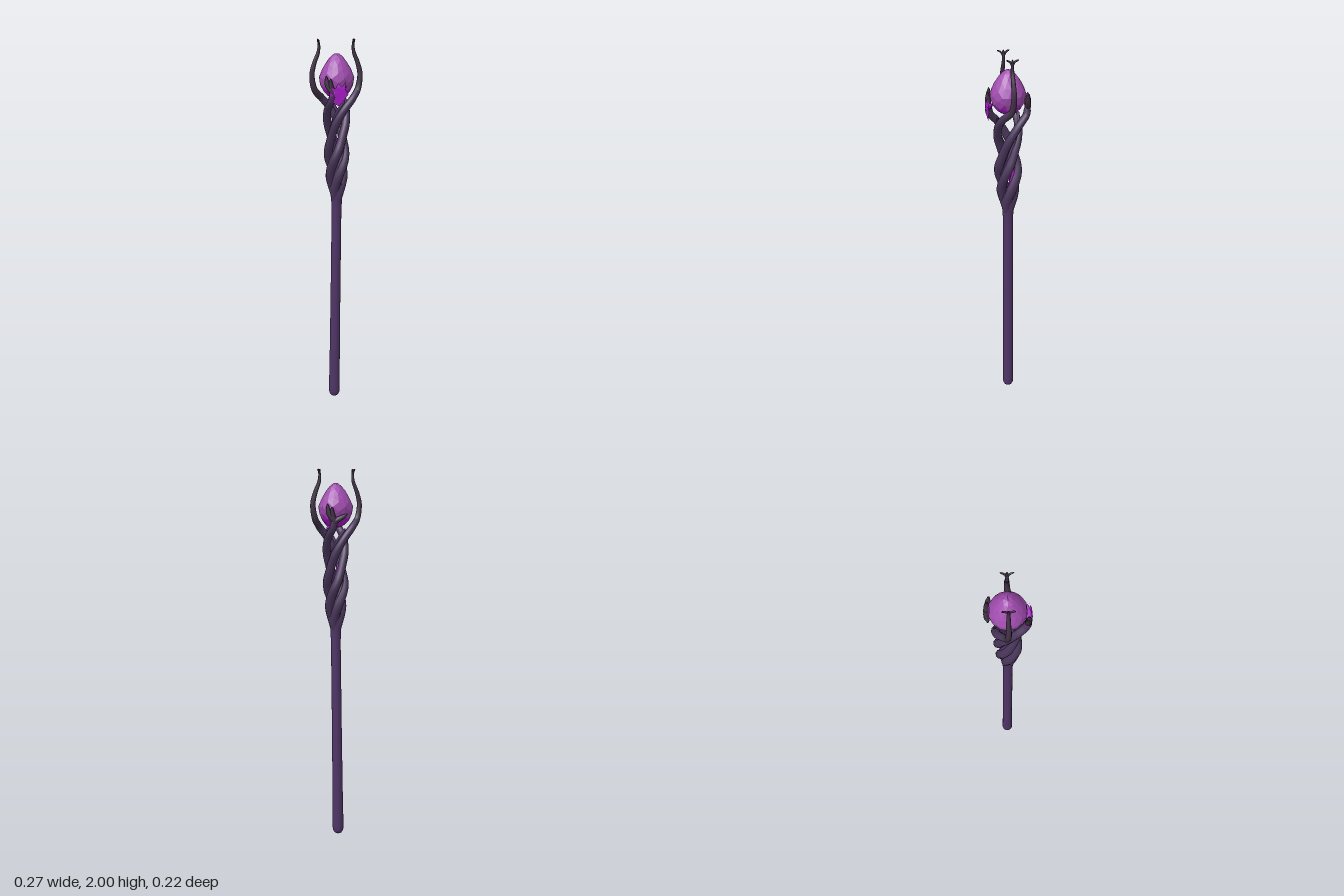
import * as THREE from 'three';

const mat = (name, color, extra = {}) => {
  const m = new THREE.MeshStandardMaterial({ color, ...extra });
  m.name = name;
  return m;
};
const V = (x, y, z) => new THREE.Vector3(x, y, z);

// linear lookup in [[x, value], ...]
function lookup(table, x) {
  for (let i = 1; i < table.length; i++) {
    const [x0, v0] = table[i - 1], [x1, v1] = table[i];
    if (x <= x1) return v0 + (v1 - v0) * Math.max(0, (x - x0) / (x1 - x0));
  }
  return table[table.length - 1][1];
}

// tube whose radius follows a table over its length; closed by tapering to zero at both ends
function taperedTube(points, radii, segments = 60, sides = 10) {
  const path = new THREE.CatmullRomCurve3(points, false, 'centripetal');
  const geo = new THREE.TubeGeometry(path, segments, 1, sides);
  const pos = geo.attributes.position, v = V(0, 0, 0);
  for (let i = 0; i <= segments; i++) {
    const u = i / segments, c = path.getPointAt(u);
    const r = i === 0 || i === segments ? 0.0005 : lookup(radii, u);
    for (let j = 0; j <= sides; j++) {
      const k = i * (sides + 1) + j;
      v.fromBufferAttribute(pos, k).sub(c).multiplyScalar(r).add(c);
      pos.setXYZ(k, v.x, v.y, v.z);
    }
  }
  return geo;
}

// distance of the braided strands from the axis, by height
const BRAID = [[1.15, 0.006], [1.22, 0.02], [1.3, 0.035], [1.4, 0.046],
  [1.5, 0.036], [1.6, 0.05], [1.66, 0.066], [1.7, 0.085]];

// braid points winding up to endAngle (0 = left side, PI/2 = front) at y = 1.72
function braid(endAngle, scale = 1) {
  const pts = [];
  for (let y = 1.16; y < 1.701; y += 0.045) {
    const a = endAngle + 5 * (1.72 - y) / 0.5, r = lookup(BRAID, y) * scale;
    pts.push(V(Math.cos(a) * r, y, Math.sin(a) * r * 1.08));
  }
  return pts;
}

export function createModel() {
  const group = new THREE.Group();
  const shaftMat = mat('dark purple wood', 0x4f3566);
  const strandMat = mat('braided wood', 0x49365a);
  const prongMat = mat('charred wood', 0x423347);
  const orbMat = mat('violet crystal', 0xa04cae, { flatShading: true });
  const glowMat = mat('bright magenta', 0xa91cc8, { side: THREE.DoubleSide });
  const add = (name, geo, material, parent = group) => {
    const m = new THREE.Mesh(geo, material);
    m.name = name;
    parent.add(m);
    return m;
  };

  // slightly leaning shaft with a rounded foot and a flared neck
  const profile = [[0, 0], [0.011, 0.002], [0.021, 0.008], [0.028, 0.02], [0.031, 0.036], [0.031, 0.06],
    [0.029, 0.2], [0.027, 0.6], [0.026, 1.1], [0.029, 1.17], [0.038, 1.23], [0.034, 1.28], [0, 1.31]];
  const shaft = new THREE.LatheGeometry(profile.map(p => new THREE.Vector2(...p)), 20);
  const sp = shaft.attributes.position;
  for (let i = 0; i < sp.count; i++) {
    const lean = Math.max(0, 1 - sp.getY(i) / 1.15);
    sp.setX(i, sp.getX(i) - 0.013 * lean);
    sp.setZ(i, sp.getZ(i) - 0.004 * lean);
  }
  add('shaft', shaft, shaftMat);

  // two long prongs, each a braided strand that curls past the crystal
  for (const s of [1, -1]) {
    const side = s > 0 ? 'left' : 'right';
    const x = d => s * (s > 0 ? d : d + 0.006);
    const strand = braid(s > 0 ? 0.3 : Math.PI + 0.3);
    add(side + 'ProngStrand', taperedTube([...strand, V(x(0.106), 1.745, s * 0.008)],
      [[0, 0.02], [0.2, 0.025], [0.65, 0.022], [0.9, 0.019], [1, 0.014]]), strandMat);
    add(side + 'Prong', taperedTube([strand.at(-1), V(x(0.106), 1.745, s * 0.008), V(x(0.119), 1.82, 0),
      V(x(0.106), 1.88, 0), V(x(0.087), 1.93, 0), V(x(0.083), 1.965, 0), V(x(0.088), 1.997, 0)],
    [[0, 0.019], [0.3, 0.015], [0.5, 0.013], [0.75, 0.01], [1, 0.005]], 40, 8), prongMat);
    // forked tip
    for (const z of [1, -1]) {
      add(side + 'ProngFork', taperedTube([V(x(0.083), 1.965, 0), V(x(0.085), 1.985, z * 0.012),
        V(x(0.088), 1.995, z * 0.031)], [[0, 0.006], [1, 0.004]], 8, 6), prongMat);
    }
  }

  // front and back claws: braided strands that end in short spread fingers
  for (const s of [1, -1]) {
    const side = s > 0 ? 'front' : 'back';
    const claw = new THREE.Group();
    claw.name = side + 'Claw';
    if (s < 0) claw.rotation.y = Math.PI;
    group.add(claw);
    const strand = braid(Math.PI / 2 + 0.2);
    const palm = V(-0.025, 1.735, 0.093);
    add(side + 'ClawStrand', taperedTube([...strand, palm],
      [[0, 0.02], [0.2, 0.026], [0.65, 0.022], [1, 0.018]]), strandMat, claw);
    const fingers = [
      [prongMat, V(-0.052, 1.775, 0.088), V(-0.06, 1.825, 0.082)],
      [prongMat, V(-0.036, 1.77, 0.094), V(-0.038, 1.81, 0.094)],
      [s > 0 ? glowMat : prongMat, V(0.005, 1.752, 0.095), V(0.042, 1.772, 0.088)]];
    for (const [material, ...f] of fingers) {
      add(side + 'ClawFinger', taperedTube([strand.at(-1), palm, ...f],
        [[0, 0.017], [0.4, 0.016], [0.75, 0.012], [1, 0.004]], 18, 8), material, claw);
    }
  }

  // thin secondary vines between the main strands
  for (const a of [Math.PI / 4, -Math.PI * 3 / 4]) {
    add('thinVine', taperedTube(braid(a, 0.8), [[0, 0.014], [0.5, 0.01], [1, 0.007]]), shaftMat);
  }
  // glowing vein inside the braid
  add('glowingVein', taperedTube(braid(Math.PI * 0.75, 0.7).slice(3, 9), [[0, 0.007], [1, 0.007]], 40, 6), glowMat);

  // faceted pointed crystal, with a bright underside
  const orb = new THREE.IcosahedronGeometry(1, 2);
  const op = orb.attributes.position;
  for (let i = 0; i < op.count; i++) {
    const t = op.getY(i);
    const r = 0.09 * (t > 0 ? 1 - 0.4 * t : 1);
    op.setXYZ(i, op.getX(i) * r, 1.808 + t * (t > 0 ? 0.12 : 0.108), op.getZ(i) * r);
  }
  orb.computeVertexNormals();
  for (let i = 0; i < op.count; i += 3) {
    const y = (op.getY(i) + op.getY(i + 1) + op.getY(i + 2)) / 3;
    orb.addGroup(i, 3, y < 1.752 ? 1 : 0);
  }
  add('crystal', orb, [orbMat, glowMat]);

  // jagged glowing splash over the front claw, wrapped around the crystal
  const splash = new THREE.ShapeGeometry(new THREE.Shape([
    [-0.42, 1.715], [-0.15, 1.685], [0.05, 1.675], [0.22, 1.7], [0.46, 1.735], [0.32, 1.755], [0.36, 1.795],
    [0.15, 1.77], [0, 1.79], [-0.14, 1.765], [-0.35, 1.768]].map(p => new THREE.Vector2(...p))));
  const gp = splash.attributes.position;
  for (let i = 0; i < gp.count; i++) {
    const a = gp.getX(i), y = gp.getY(i);
    const r = lookup([[1.675, 0.1], [1.72, 0.115], [1.76, 0.114], [1.8, 0.1]], y);
    gp.setXYZ(i, Math.sin(a) * r, y, Math.cos(a) * r);
  }
  splash.computeVertexNormals();
  add('glowSplash', splash, glowMat);

  return group;
}
